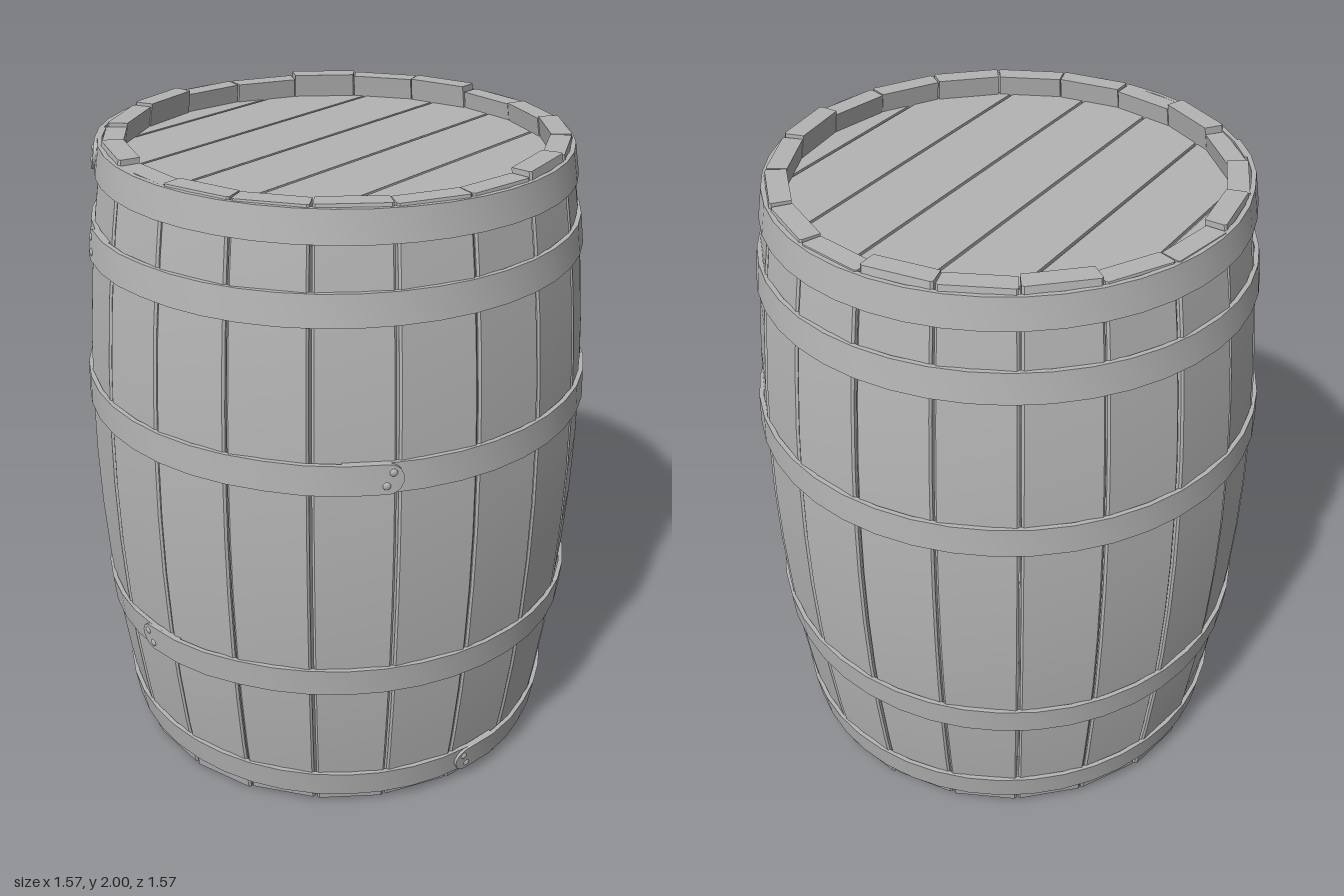
import * as THREE from 'three';
import { toCreasedNormals } from 'three/addons/utils/BufferGeometryUtils.js';

const STAVES = 20;
const radiusAt = (y) => 0.782 - 0.09 * (y - 1) ** 2; // barrel bulge

// Small seeded generator for hand-made irregularity, -1..1
let seed = 7;
const jitter = () => {
  seed = (seed * 16807) % 2147483647;
  return (seed / 2147483647) * 2 - 1;
};

// Skin a row of equal-length cross-section loops and cap both ends
function loft(sections) {
  const n = sections[0].length, last = (sections.length - 1) * n, index = [];
  for (let i = 0; i < sections.length - 1; i++) {
    for (let j = 0; j < n; j++) {
      const a = i * n + j, b = i * n + ((j + 1) % n);
      index.push(a, b, b + n, a, b + n, a + n);
    }
  }
  for (let j = 1; j < n - 1; j++) {
    index.push(0, j + 1, j, last, last + j, last + j + 1);
  }
  const geo = new THREE.BufferGeometry();
  geo.setAttribute('position', new THREE.Float32BufferAttribute(sections.flat(2), 3));
  geo.setIndex(index);
  return toCreasedNormals(geo, 0.5);
}

// One bowed stave with chamfered long edges, facing +z
function staveGeometry() {
  const half = Math.PI / STAVES, bevel = 0.006, thick = 0.062;
  const y0 = 0.011 + 0.011 * jitter(), y1 = 1.988 + 0.012 * jitter();
  const shift = 0.003 * jitter(), gap = 0.004 + 0.002 * jitter();
  const sections = [];
  for (let i = 0; i <= 10; i++) {
    const y = y0 + ((y1 - y0) * i) / 10;
    const r = radiusAt(y) + shift;
    const out = r * Math.cos(half), w = r * Math.sin(half) - gap;
    const wi = (r - thick) * Math.sin(half) - gap / 2;
    sections.push([
      [-w, y, out - bevel], [-w + bevel, y, out], [w - bevel, y, out],
      [w, y, out - bevel], [wi, y, out - thick], [-wi, y, out - thick],
    ]);
  }
  return loft(sections);
}

// Hoop: a strip wrapped once round with an overlapping rounded tip
function hoopSurface({ y, tiltX, tiltZ }, angle, v, offset) {
  const s = Math.sin(angle), c = Math.cos(angle);
  const py = y + v + 0.75 * (tiltX * s + tiltZ * c);
  const r = radiusAt(py) + offset;
  return [r * s, py, r * c];
}

function hoopGeometry(h) {
  const height = 0.092, wrap = Math.PI * 2 + 0.22, sections = [];
  const tipLength = height / 2 / radiusAt(h.y);
  const steps = [];
  for (let i = 0; i <= 44; i++) steps.push(tipLength + ((wrap - tipLength) * i) / 44);
  for (let i = 1; i <= 5; i++) steps.unshift(tipLength * (1 - i / 5.1));
  for (const d of steps) {
    const k = Math.min(1, d / tipLength);
    const hv = (height / 2) * Math.sqrt(1 - (1 - k) ** 2);
    const lift = 0.008 * THREE.MathUtils.smoothstep(0.55 - d, 0, 0.3);
    const outer = 0.008 + lift, inner = lift - 0.006;
    const a = h.tip - h.dir * d;
    sections.push([
      hoopSurface(h, a, hv, inner), hoopSurface(h, a, hv, outer),
      hoopSurface(h, a, -hv, outer), hoopSurface(h, a, -hv, inner),
    ]);
  }
  if (h.dir > 0) sections.reverse(); // keep the sweep in one direction
  return loft(sections);
}

// Round head cut into parallel boards
function headBoards(material, name, y) {
  const group = new THREE.Group();
  group.name = name;
  const R = 0.655, gap = 0.005;
  const seams = [-R, -0.56, -0.336, -0.112, 0.112, 0.336, 0.56, R];
  for (let i = 0; i < seams.length - 1; i++) {
    const lo = Math.asin((seams[i] + (i > 0 ? gap : 0)) / R);
    const hi = Math.asin((seams[i + 1] - (i < 6 ? gap : 0)) / R);
    const shape = new THREE.Shape();
    shape.absarc(0, 0, R, lo, hi, false);
    shape.absarc(0, 0, R, Math.PI - hi, Math.PI - lo, false);
    const geo = new THREE.ExtrudeGeometry(shape, { depth: 0.03, bevelEnabled: false, curveSegments: 8 });
    geo.rotateX(-Math.PI / 2);
    const board = new THREE.Mesh(geo, material);
    board.name = 'headBoard';
    group.add(board);
  }
  // Thin backing so the seams stay closed
  const backing = new THREE.Mesh(new THREE.CylinderGeometry(R, R, 0.01, 40), material);
  backing.name = 'headBacking';
  backing.position.y = 0.015;
  group.add(backing);
  group.position.y = y;
  group.rotation.y = 0.012;
  return group;
}

export function createModel() {
  const grey = new THREE.MeshStandardMaterial({ color: 0xb4b4b4 });
  grey.name = 'plain grey';
  const barrel = new THREE.Group();
  barrel.name = 'barrel';

  // Staves
  const staves = new THREE.Group();
  staves.name = 'staves';
  for (let i = 0; i < STAVES; i++) {
    const stave = new THREE.Mesh(staveGeometry(), grey);
    stave.name = 'stave';
    stave.rotation.y = ((i + 0.5) / STAVES) * Math.PI * 2;
    staves.add(stave);
  }
  barrel.add(staves);

  // Recessed heads
  barrel.add(headBoards(grey, 'topHead', 1.895), headBoards(grey, 'bottomHead', 0.055));

  // Hoops, each with two rivets near its tip
  const deg = Math.PI / 180;
  const hoops = [
    { name: 'topHoop', y: 1.932, tip: 231 * deg, dir: 1, tiltX: -0.006, tiltZ: -0.004 },
    { name: 'upperHoop', y: 1.72, tip: 237 * deg, dir: -1, tiltX: 0.008, tiltZ: 0.002 },
    { name: 'middleHoop', y: 1.236, tip: -35 * deg, dir: 1, tiltX: 0, tiltZ: 0.002 },
    { name: 'lowerHoop', y: 0.507, tip: 260 * deg, dir: -1, tiltX: -0.02, tiltZ: 0.03 },
    { name: 'bottomHoop', y: 0.098, tip: -16.5 * deg, dir: -1, tiltX: 0, tiltZ: -0.016 },
  ];
  const rivetGeo = new THREE.SphereGeometry(0.012, 10, 6);
  for (const h of hoops) {
    const group = new THREE.Group();
    group.name = h.name;
    const strip = new THREE.Mesh(hoopGeometry(h), grey);
    strip.name = 'hoopStrip';
    group.add(strip);
    for (const v of [-1, 1]) {
      const rivet = new THREE.Mesh(rivetGeo, grey);
      rivet.name = 'rivet';
      const a = h.tip - h.dir * (0.052 - 0.012 * v);
      rivet.position.set(...hoopSurface(h, a, 0.02 * v, 0.015));
      rivet.rotation.y = a;
      rivet.scale.z = 0.5;
      group.add(rivet);
    }
    barrel.add(group);
  }
  return barrel;
}
